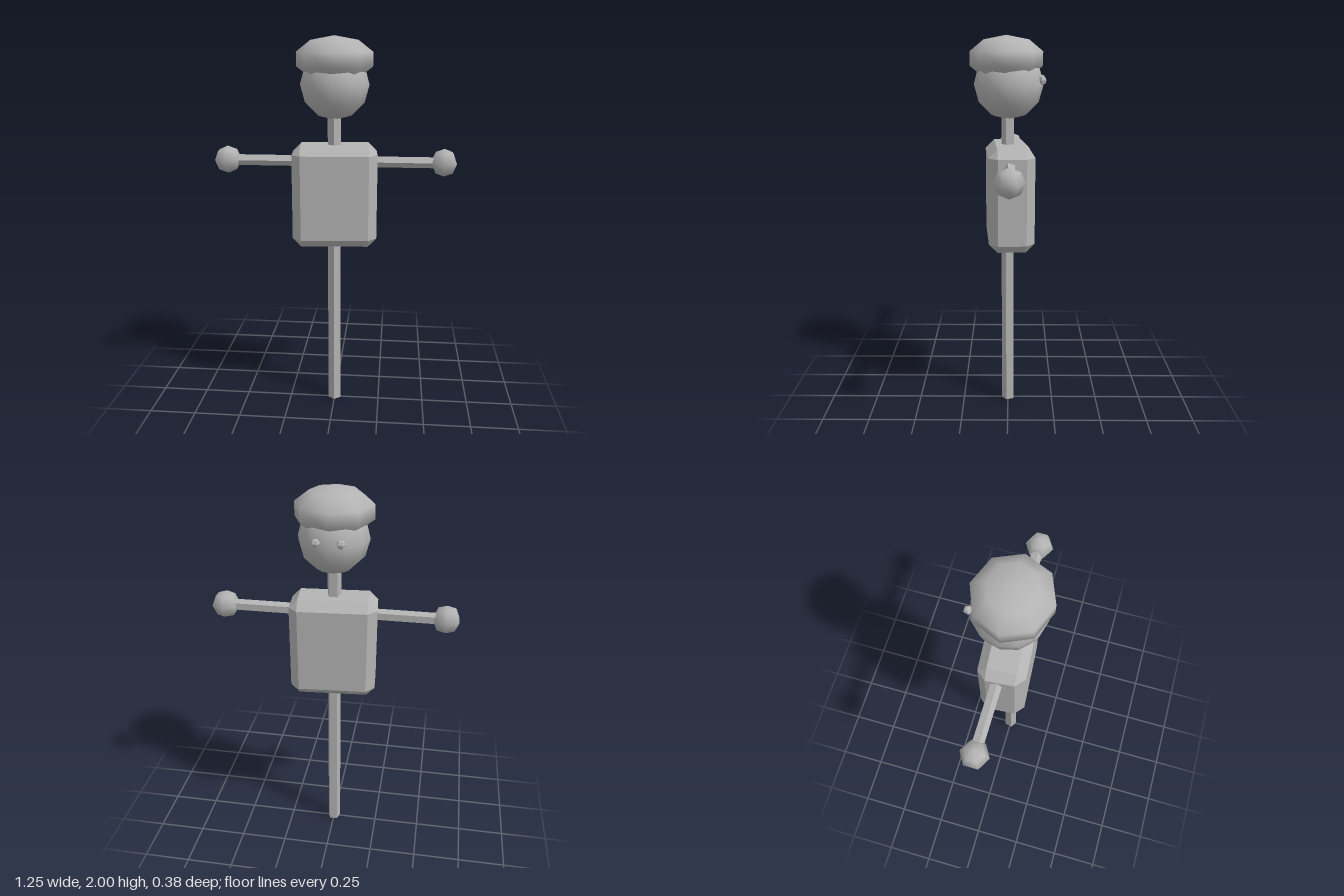
import * as THREE from 'three';
import { ConvexGeometry } from 'three/addons/geometries/ConvexGeometry.js';

const grey = new THREE.MeshStandardMaterial({ color: 0xb4b4b4 });
grey.name = 'plain grey';
const greyFlat = grey.clone(); // same colour, faceted
greyFlat.flatShading = true;

// Sphere with its first meridian turned toward +z
function ball(r, sides, rows) {
  return new THREE.SphereGeometry(r, sides, rows).rotateY(Math.PI / 2);
}

// Box with every edge cut back by c (half sizes hx, hy, hz)
function chamferedBox(hx, hy, hz, c) {
  const points = [];
  for (const sx of [-1, 1]) for (const sy of [-1, 1]) for (const sz of [-1, 1]) {
    points.push(
      new THREE.Vector3(sx * hx, sy * (hy - c), sz * (hz - c)),
      new THREE.Vector3(sx * (hx - c), sy * hy, sz * (hz - c)),
      new THREE.Vector3(sx * (hx - c), sy * (hy - c), sz * hz));
  }
  return new ConvexGeometry(points);
}

export function createModel() {
  const model = new THREE.Group();
  model.name = 'trainingDummy';

  function add(name, geometry, material, x, y, z) {
    const mesh = new THREE.Mesh(geometry, material);
    mesh.name = name;
    mesh.position.set(x, y, z);
    model.add(mesh);
    return mesh;
  }

  // Five-sided upright post, also serving as the neck
  add('post', new THREE.CylinderGeometry(0.036, 0.036, 1.66, 5), greyFlat, 0, 0.83, -0.002);

  // Torso, turned slightly on the post
  const torso = add('torso', chamferedBox(0.22, 0.2665, 0.117, 0.045), greyFlat, 0, 1.1925, -0.008);
  torso.rotation.y = 0.073;

  // Crossbar arms
  const arms = add('arms', new THREE.CylinderGeometry(0.03, 0.03, 1.12, 5), greyFlat, 0, 1.371, -0.012);
  arms.rotation.z = Math.PI / 2;

  // Head and flattened hat
  add('head', ball(0.176, 12, 6), grey, 0, 1.761, -0.004);
  const hat = add('hat', ball(1, 8, 5), grey, 0, 1.886, 0.008);
  hat.scale.set(0.203, 0.114, 0.193);

  // Hands and eyes, the face looking toward -z
  for (const [side, s] of [['left', 1], ['right', -1]]) {
    add(side + 'Hand', ball(0.072, 6, 4), grey, s * 0.564, 1.371, -0.01);
    add(side + 'Eye', ball(0.022, 5, 4), greyFlat, s * 0.059, 1.783, -0.173);
  }
  return model;
}
